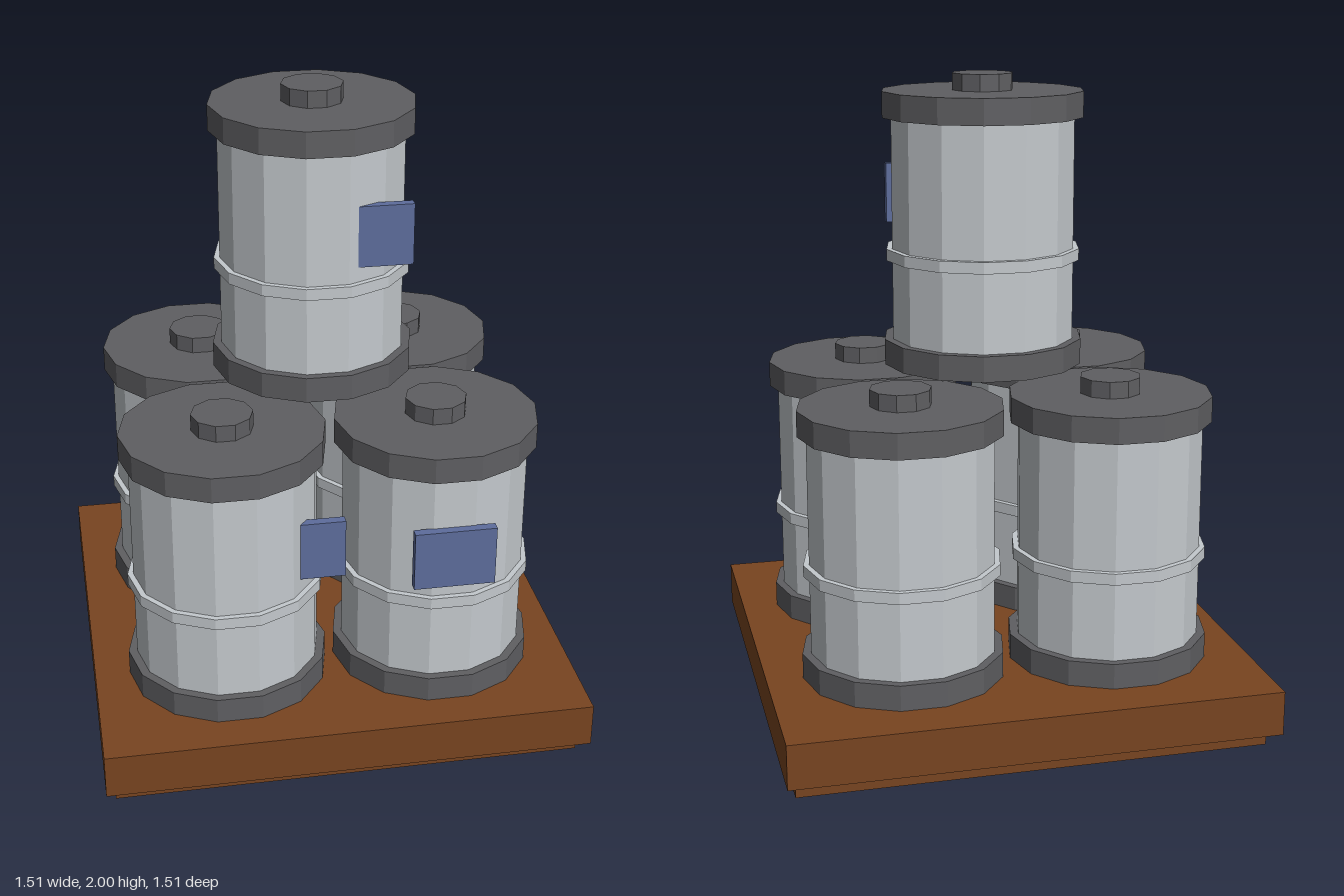
import * as THREE from 'three';

const mat = (name, color) => {
  const m = new THREE.MeshStandardMaterial({ color, flatShading: true });
  m.name = name;
  return m;
};

export function createModel() {
  const steel = mat('pale steel', 0xc4c9cd);
  const dark = mat('dark grey', 0x5f5f62);
  const wood = mat('brown wood', 0x784420);
  const blue = mat('label blue', 0x5d6d9c);

  const add = (parent, name, geometry, material, x, y, z) => {
    const mesh = new THREE.Mesh(geometry, material);
    mesh.name = name;
    mesh.position.set(x, y, z);
    parent.add(mesh);
    return mesh;
  };
  // Prism between two heights, with a corner pointing along x
  const prism = (parent, name, r, y0, y1, sides, material) => {
    const g = new THREE.CylinderGeometry(r, r, y1 - y0, sides);
    g.rotateY(Math.PI / 2);
    add(parent, name, g, material, 0, (y0 + y1) / 2, 0);
  };

  const model = new THREE.Group();
  model.name = 'barrelStack';

  // Pallet with four runners
  const pallet = new THREE.Group();
  pallet.name = 'pallet';
  add(pallet, 'deck', new THREE.BoxGeometry(1.51, 0.14, 1.51), wood, 0, 0.126, 0);
  for (const z of [-0.615, -0.205, 0.21, 0.62]) {
    add(pallet, 'runner', new THREE.BoxGeometry(1.45, 0.06, 0.16), wood, 0, 0.03, z);
  }
  model.add(pallet);

  // Barrel, with its label given as an offset from the barrel axis
  const barrel = (name, x, y, z, labelX, labelZ) => {
    const b = new THREE.Group();
    b.name = name;
    b.position.set(x, y, z);
    prism(b, 'body', 0.288, 0.04, 0.81, 14, steel);
    prism(b, 'hoop', 0.306, 0.33, 0.366, 14, steel);
    prism(b, 'lowerRim', 0.315, 0, 0.08, 14, dark);
    prism(b, 'upperRim', 0.315, 0.77, 0.85, 14, dark);
    prism(b, 'cap', 0.095, 0.85, 0.902, 10, dark);
    add(b, 'label', new THREE.BoxGeometry(0.25, 0.19, 0.03), blue, labelX, 0.507, labelZ);
    model.add(b);
  };
  barrel('frontLeftBarrel', 0.327, 0.196, 0.327, 0, 0.293);
  barrel('frontRightBarrel', -0.33, 0.196, 0.327, 0.22, 0.178);
  barrel('backLeftBarrel', 0.327, 0.196, -0.304, 0.108, 0.265);
  barrel('backRightBarrel', -0.33, 0.196, -0.304, 0, 0.294);
  barrel('topBarrel', 0, 1.098, 0, 0.135, 0.252);

  return model;
}
